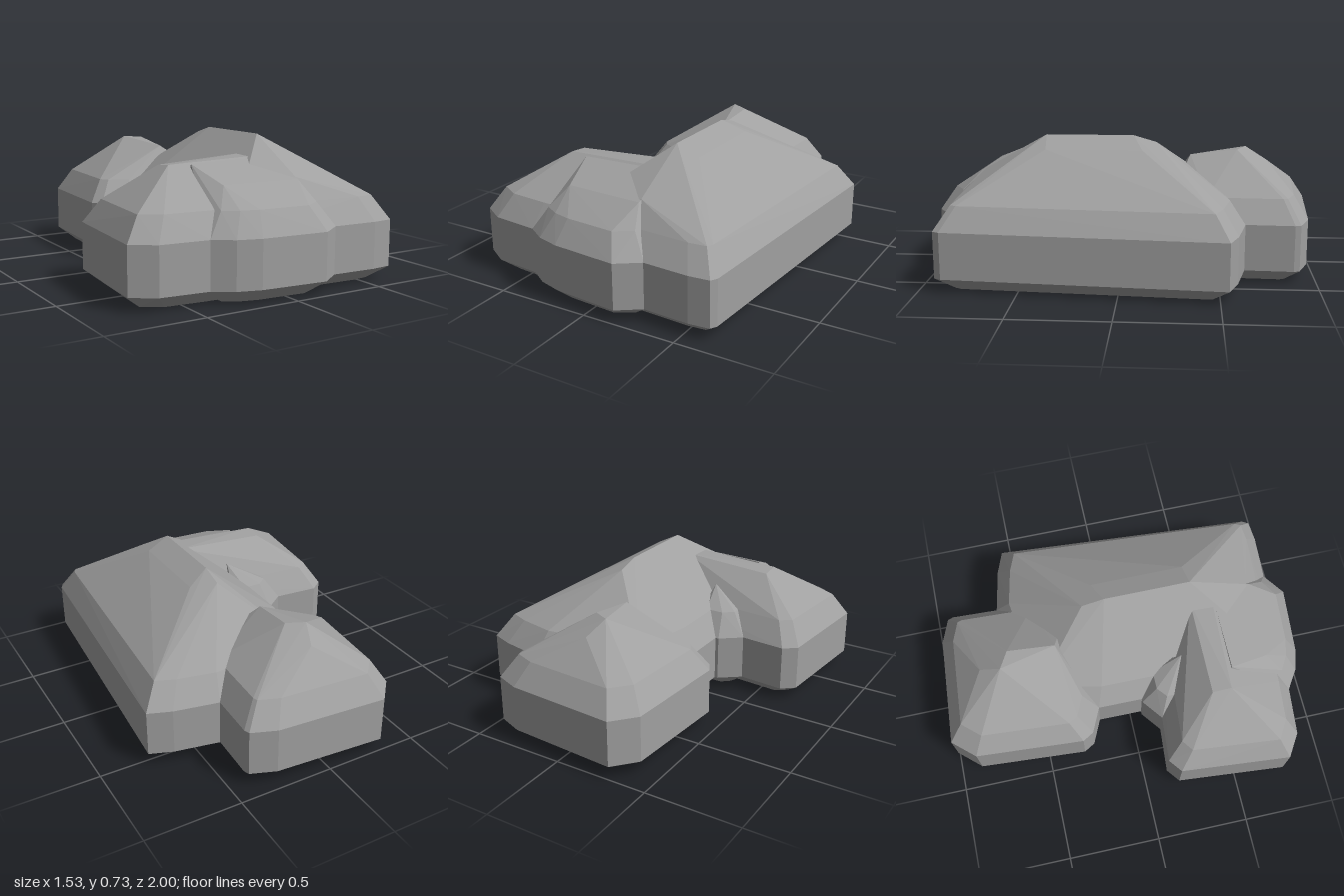
import * as THREE from 'three';
import { ConvexGeometry } from 'three/addons/geometries/ConvexGeometry.js';

// One building block: chamfered base, upright walls, sloped eaves and a hipped roof.
// plan: [x, z] corners; roof: [x, y, z] ridge and slope points.
function makeBlock(name, plan, roof, material, eaveY = 0.43) {
  const xs = plan.map((p) => p[0]);
  const zs = plan.map((p) => p[1]);
  const [x0, x1, z0, z1] = [Math.min(...xs), Math.max(...xs), Math.min(...zs), Math.max(...zs)];
  const cx = (x0 + x1) / 2;
  const cz = (z0 + z1) / 2;
  const points = [];
  const ring = (y, inset) => {
    const sx = 1 - (2 * inset) / (x1 - x0);
    const sz = 1 - (2 * inset) / (z1 - z0);
    for (const [x, z] of plan) {
      points.push(new THREE.Vector3(cx + (x - cx) * sx, y, cz + (z - cz) * sz));
    }
  };
  ring(0, 0.09);
  ring(0.07, 0);
  ring(0.31, 0);
  ring(eaveY, 0.08);
  for (const p of roof) points.push(new THREE.Vector3(...p));
  const mesh = new THREE.Mesh(new ConvexGeometry(points), material);
  mesh.name = name;
  return mesh;
}

export function createModel() {
  const group = new THREE.Group();
  group.name = 'house';
  const grey = new THREE.MeshStandardMaterial({ color: 0xa0a0a0, flatShading: true });
  grey.name = 'plainGrey';

  // Long central block with the tallest ridge
  group.add(makeBlock('mainBlock', [
    [0.41, -0.63], [0.53, -0.59], [0.64, -0.585], [0.76, -0.54], [0.66, 0.88],
    [0.64, 0.915], [0.53, 0.925], [-0.29, 0.88], [-0.28, -0.18], [-0.2, -0.55],
  ], [
    [0.17, 0.725, 0.41], [0.17, 0.725, -0.05], [0.17, 0.69, -0.17], [0.29, 0.665, 0.4],
    [0.29, 0.665, -0.1], [0.17, 0.54, 0.74],
  ], grey));

  // Side wing at the front
  group.add(makeBlock('sideWing', [
    [0.3, 0.9], [-0.4, 0.865], [-0.65, 0.84], [-0.77, 0.765], [-0.72, 0.18],
    [-0.65, 0.125], [-0.41, 0.145], [0.3, 0.2],
  ], [[-0.41, 0.61, 0.5], [-0.41, 0.6, 0.4], [0.17, 0.63, 0.52], [0.1, 0.63, 0.4]], grey));

  // Shallow front bay
  group.add(makeBlock('frontBay', [
    [0.29, 0.91], [0.17, 0.995], [-0.18, 0.965], [-0.3, 0.93], [-0.4, 0.865],
    [-0.4, 0.5], [0.29, 0.5],
  ], [[-0.25, 0.53, 0.74], [0.17, 0.53, 0.76], [-0.3, 0.61, 0.53], [0.2, 0.62, 0.53]], grey));

  // Rear wing with its own lower ridge
  group.add(makeBlock('rearWing', [
    [-0.3, -1], [0.28, -0.96], [0.41, -0.91], [0.42, -0.88], [0.4, -0.4], [0.3, -0.18],
    [-0.28, -0.18], [-0.41, -0.24], [-0.445, -0.3], [-0.405, -0.88],
  ], [[-0.06, 0.635, -0.65], [0.03, 0.63, -0.6], [0.02, 0.6, -0.35], [-0.02, 0.57, -0.76]], grey));

  // Angled infill where the side wing meets the main block
  group.add(makeBlock('cornerInfill', [
    [-0.41, 0.145], [-0.3, 0.06], [-0.1, 0.06], [-0.1, 0.4], [-0.41, 0.4],
  ], [[-0.15, 0.52, 0.3]], grey));

  return group;
}
